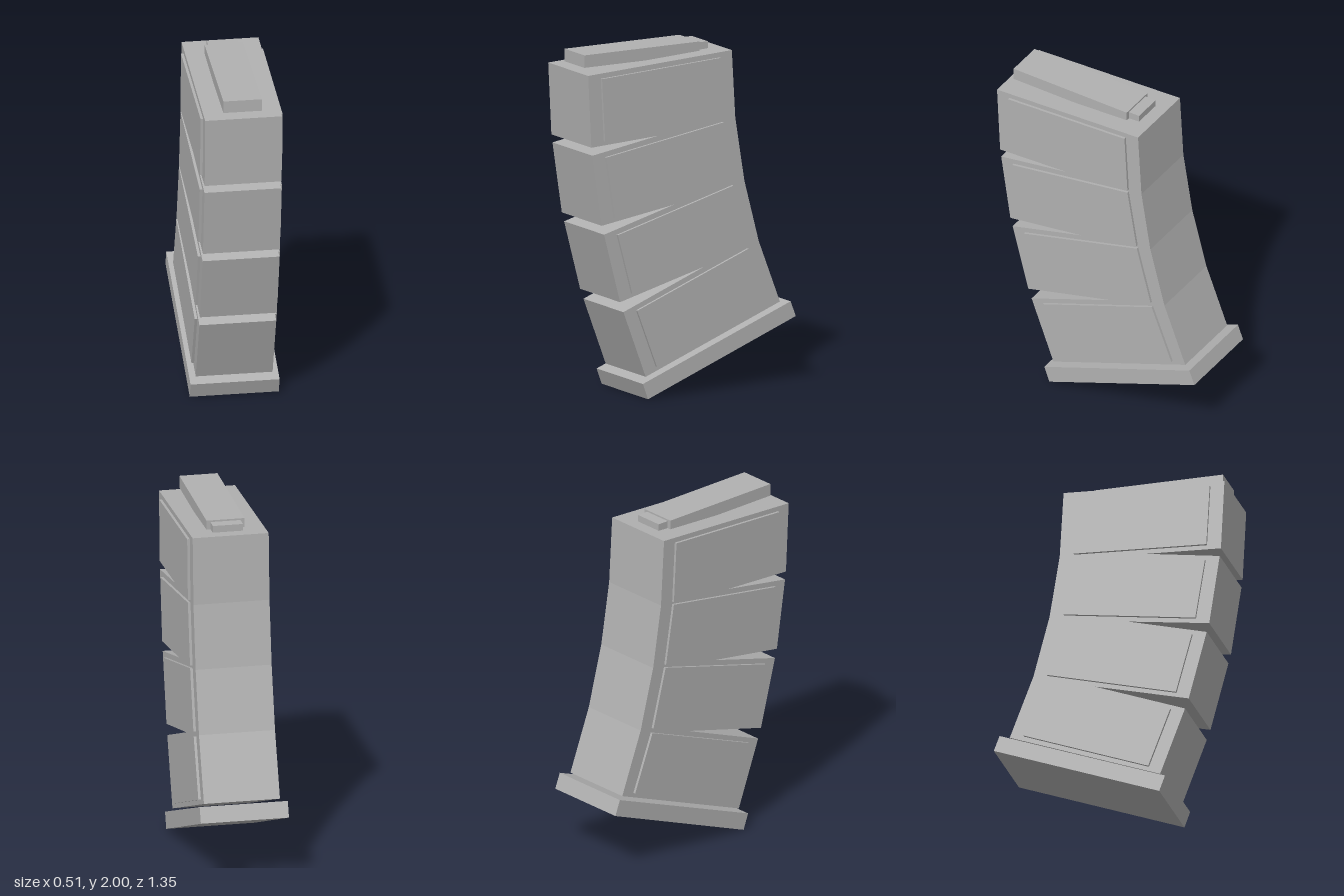
import * as THREE from 'three';

const grey = new THREE.MeshStandardMaterial({ color: 0xb0b0b0 });
grey.name = 'grey';

// Side profile given as [z, y] points, extruded across x from x0 to x1
function slab(name, points, x0, x1) {
  const shape = new THREE.Shape(points.map(([z, y]) => new THREE.Vector2(z, y)));
  const geometry = new THREE.ExtrudeGeometry(shape, { depth: x1 - x0, bevelEnabled: false });
  geometry.rotateY(-Math.PI / 2).translate(x1, 0, 0);
  const mesh = new THREE.Mesh(geometry, grey);
  mesh.name = name;
  return mesh;
}

function block(name, width, y0, y1, z0, z1) {
  const mesh = new THREE.Mesh(new THREE.BoxGeometry(width, y1 - y0, z1 - z0), grey);
  mesh.position.set(0, (y0 + y1) / 2, (z0 + z1) / 2);
  mesh.name = name;
  return mesh;
}

export function createModel() {
  const model = new THREE.Group();
  model.name = 'curvedMagazine';

  // Curved body with three wedge notches cut into the front
  model.add(slab('body', [
    [0.678, 1.905], [0.657, 1.487], [0.215, 1.51],
    [0.65, 1.44], [0.588, 1.028], [0.11, 1.1],
    [0.573, 0.975], [0.467, 0.573], [-0.09, 0.72],
    [0.445, 0.513], [0.298, 0.123],
    [-0.59, 0.465], [-0.45, 0.83], [-0.355, 1.19], [-0.295, 1.56], [-0.272, 1.954],
  ], -0.22, 0.22));

  // Raised side panels, one per segment on each side
  const panels = [
    [[0.595, 1.88], [-0.19, 1.92], [-0.21, 1.56], [0.575, 1.517]],
    [[0.567, 1.423], [-0.21, 1.545], [-0.27, 1.188], [0.51, 1.066]],
    [[0.49, 0.966], [-0.273, 1.172], [-0.366, 0.822], [0.395, 0.617]],
    [[0.362, 0.515], [-0.373, 0.796], [-0.505, 0.461], [0.232, 0.176]],
  ];
  panels.forEach((points, i) => {
    model.add(slab(`leftPanel${i + 1}`, points, 0.215, 0.235));
    model.add(slab(`rightPanel${i + 1}`, points, -0.235, -0.215));
  });

  // Tilted floor plate
  model.add(slab('basePlate', [[0.337, 0.092], [0.303, 0], [-0.674, 0.378], [-0.64, 0.467]], -0.255, 0.255));

  // Top block with its smaller rear step
  model.add(block('topBlock', 0.22, 1.928, 2, -0.125, 0.637));
  model.add(block('topBlockStep', 0.174, 1.94, 1.99, -0.193, -0.125));

  return model;
}
